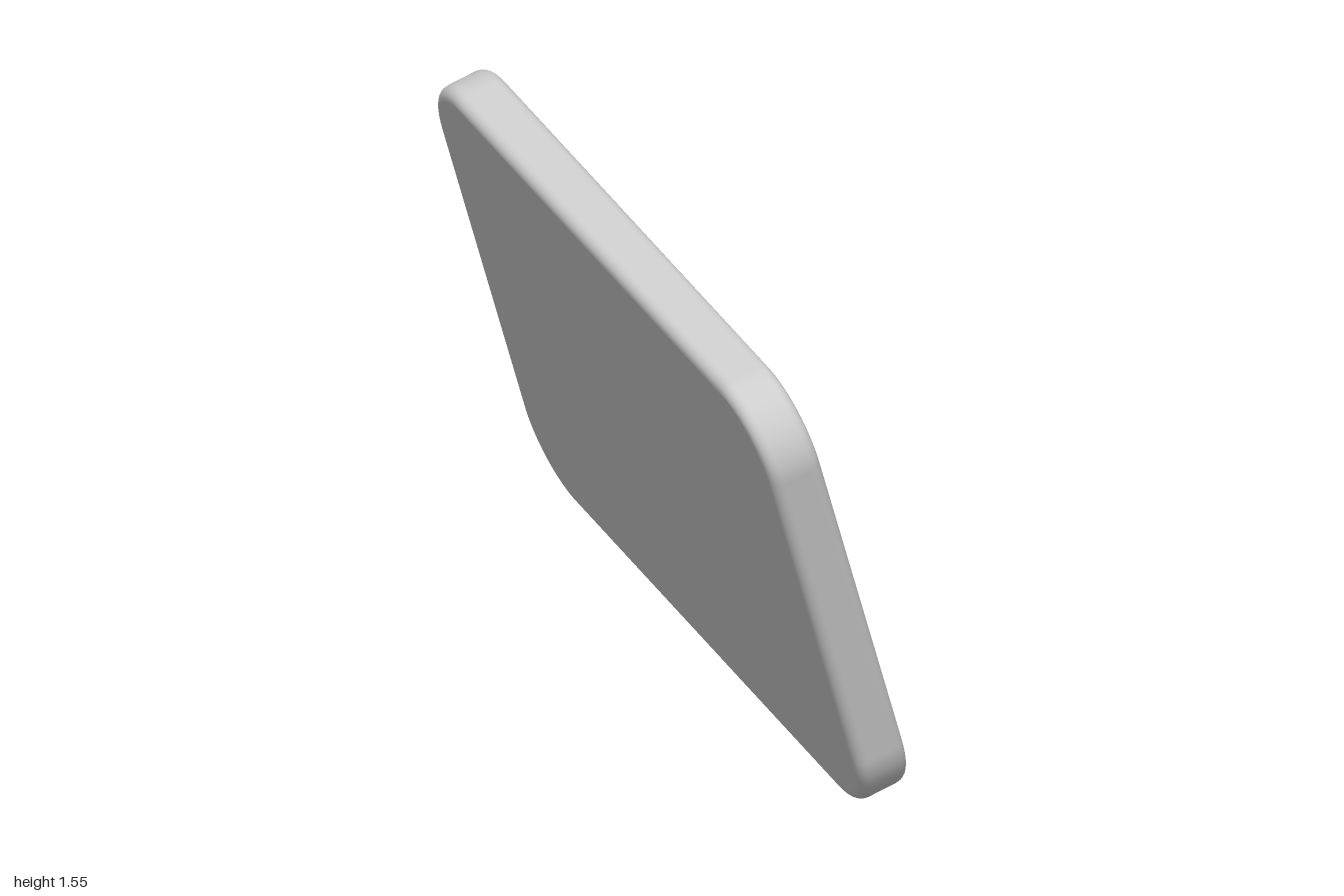
import * as THREE from 'three';

const HALF_L = 0.951, HALF_W = 0.668, CORNER = 0.21, THICK = 0.14, FILLET = 0.03;
const SLOT = { x: -0.727, halfW: 0.08, halfL: 0.355, depth: 0.09, rim: 0.02, floor: 0.015 };
const ARC = 12;

// Counter-clockwise rounded rectangle, shrunk by inset (grown when negative)
function outline(hx, hy, r, inset, cx = 0) {
  const pts = [];
  [[1, 1], [-1, 1], [-1, -1], [1, -1]].forEach(([sx, sy], q) => {
    for (let i = 0; i <= ARC; i++) {
      const a = (q + i / ARC) * Math.PI / 2;
      pts.push(new THREE.Vector2(
        cx + sx * (hx - r) + (r - inset) * Math.cos(a),
        sy * (hy - r) + (r - inset) * Math.sin(a)));
    }
  });
  return pts;
}

const plateOutline = (inset) => outline(HALF_L, HALF_W, CORNER, inset);
const slotOutline = (inset) => outline(SLOT.halfW, SLOT.halfL, SLOT.halfW, inset, SLOT.x);

// Smooth wall through closed rings given as [points, z]
function loft(rings) {
  const n = rings[0][0].length, pos = [], idx = [];
  rings.forEach(([pts, z]) => pts.forEach((p) => pos.push(p.x, p.y, z)));
  for (let k = 0; k < rings.length - 1; k++) {
    for (let i = 0; i < n; i++) {
      const a = k * n + i, b = k * n + (i + 1) % n;
      idx.push(a, b, b + n, a, b + n, a + n);
    }
  }
  const g = new THREE.BufferGeometry();
  g.setAttribute('position', new THREE.Float32BufferAttribute(pos, 3));
  g.setIndex(idx);
  g.computeVertexNormals();
  return g;
}

export function createModel() {
  const group = new THREE.Group();
  group.name = 'slottedPlate';
  const grey = new THREE.MeshStandardMaterial({ color: 0xcccccc });
  grey.name = 'light grey';

  const plate = new THREE.Group();
  plate.name = 'plate';
  const add = (geometry, name) => {
    const mesh = new THREE.Mesh(geometry, grey);
    mesh.name = name;
    plate.add(mesh);
    return mesh;
  };
  const top = THICK / 2, steps = 6;
  const quarter = (i) => (i / steps) * Math.PI / 2;

  // Outer edge with rounded back and front borders
  const edge = [];
  for (let i = 0; i <= steps; i++) {
    const a = quarter(i);
    edge.push([plateOutline(FILLET * (1 - Math.sin(a))), -top + FILLET * (1 - Math.cos(a))]);
  }
  for (let i = 0; i <= steps; i++) {
    const a = quarter(i);
    edge.push([plateOutline(FILLET * (1 - Math.cos(a))), top - FILLET * (1 - Math.sin(a))]);
  }
  add(loft(edge), 'edge');

  // Front face with the slot opening, and plain back face
  const face = new THREE.Shape(plateOutline(FILLET));
  face.holes.push(new THREE.Path(slotOutline(-SLOT.rim).reverse()));
  add(new THREE.ShapeGeometry(face).translate(0, 0, top), 'frontFace');
  add(new THREE.ShapeGeometry(new THREE.Shape(plateOutline(FILLET)))
    .rotateX(Math.PI).translate(0, 0, -top), 'backFace');

  // Slot wall: rounded rim, straight side, rounded foot
  const wall = [];
  for (let i = 0; i <= steps; i++) {
    const a = quarter(i);
    wall.push([slotOutline(-SLOT.rim * (1 - Math.sin(a))), top - SLOT.rim * (1 - Math.cos(a))]);
  }
  for (let i = 0; i <= steps; i++) {
    const a = quarter(i);
    wall.push([slotOutline(SLOT.floor * (1 - Math.cos(a))),
      top - SLOT.depth + SLOT.floor * (1 - Math.sin(a))]);
  }
  add(loft(wall), 'slotWall');
  add(new THREE.ShapeGeometry(new THREE.Shape(slotOutline(SLOT.floor)))
    .translate(0, 0, top - SLOT.depth), 'slotFloor');

  // Tilt the plate: long axis, short axis, face normal
  const u = new THREE.Vector3(0.122, 0.185, -0.975).normalize();
  const n = u.clone().cross(new THREE.Vector3(-0.36, 0.923, 0.137)).normalize();
  const v = n.clone().cross(u);
  plate.quaternion.setFromRotationMatrix(new THREE.Matrix4().makeBasis(u, v, n));
  plate.position.y = 0.773;
  group.add(plate);
  return group;
}
